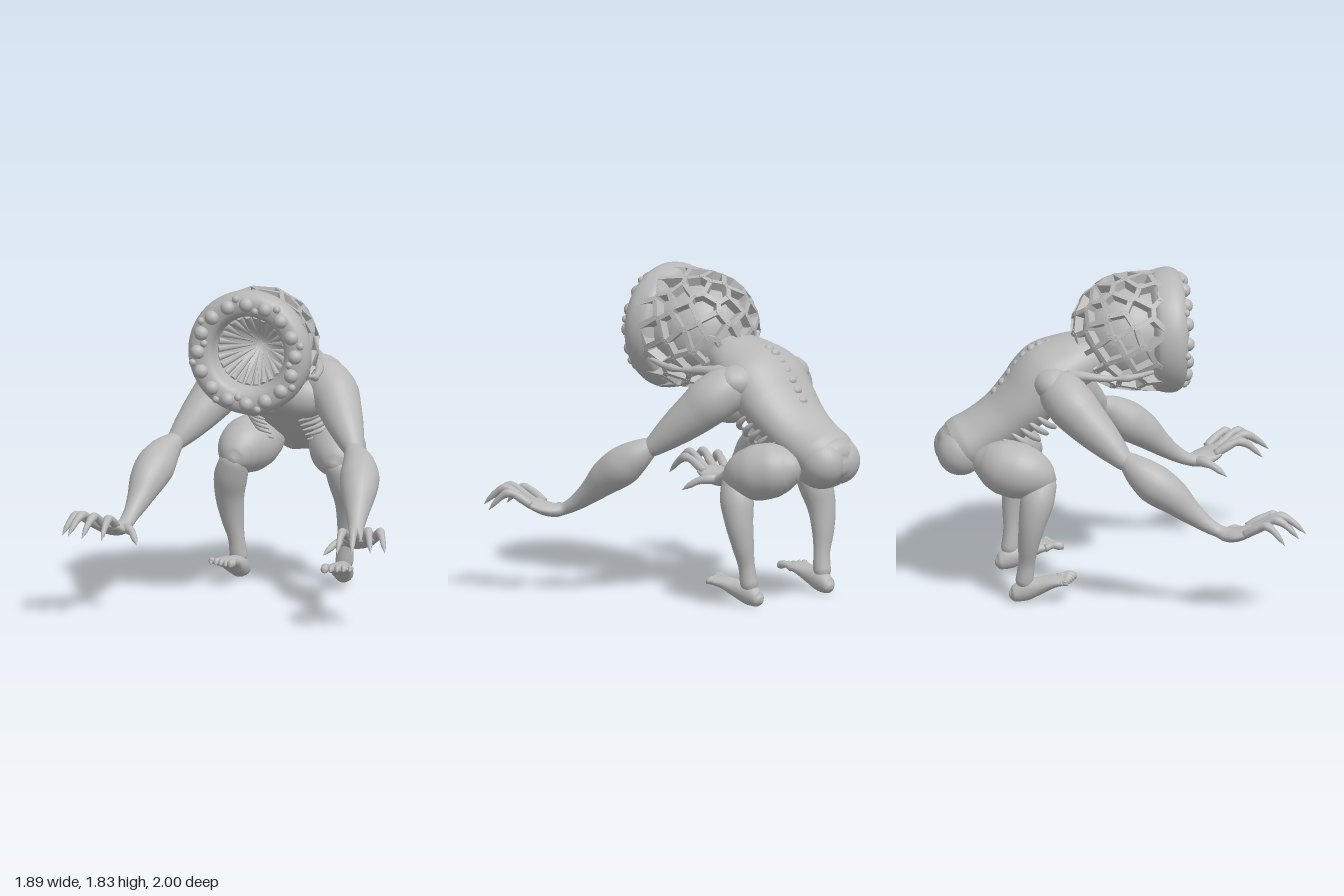
import * as THREE from 'three';
import { mergeGeometries } from 'three/addons/utils/BufferGeometryUtils.js';
import { ConvexGeometry } from 'three/addons/geometries/ConvexGeometry.js';

const V = (x, y, z) => new THREE.Vector3(x, y, z);

// Smooth closed limb through stations [x, y, z, halfWidth, halfHeight]
function loft(stations, { side = 1, up = V(0, 1, 0), rows = 40, cols = 24 } = {}) {
  const path = new THREE.CatmullRomCurve3(stations.map(s => V(s[0] * side, s[1], s[2])));
  const radii = new THREE.CatmullRomCurve3(stations.map(s => V(s[3], s[4] ?? s[3], 0)));
  const pos = [], index = [];
  for (let i = 0; i <= rows; i++) {
    const t = i / rows, p = path.getPoint(t), r = radii.getPoint(t), T = path.getTangent(t);
    const across = up.clone().cross(T).normalize(), n = T.clone().cross(across);
    for (let j = 0; j < cols; j++) {
      const a = j / cols * Math.PI * 2;
      const q = p.clone().addScaledVector(across, Math.cos(a) * r.x).addScaledVector(n, Math.sin(a) * r.y);
      pos.push(q.x, q.y, q.z);
    }
  }
  const first = pos.length / 3, last = rows * cols;
  pos.push(...path.getPoint(0).toArray(), ...path.getPoint(1).toArray());
  for (let j = 0; j < cols; j++) {
    const k = (j + 1) % cols;
    for (let i = 0; i < rows; i++) {
      const a = i * cols + j, b = i * cols + k;
      index.push(a, b, a + cols, b, b + cols, a + cols);
    }
    index.push(first, k, j, first + 1, last + j, last + k);
  }
  const g = new THREE.BufferGeometry();
  g.setAttribute('position', new THREE.Float32BufferAttribute(pos, 3));
  g.setIndex(index);
  g.computeVertexNormals();
  return g;
}

const ball = (x, y, z, rx, ry = rx, rz = rx, seg = 20) =>
  new THREE.SphereGeometry(1, seg, Math.round(seg * 0.7)).scale(rx, ry, rz).translate(x, y, z);

function spike(a, b, r) {
  const d = b.clone().sub(a), g = new THREE.ConeGeometry(r, d.length(), 6);
  g.translate(0, d.length() / 2, 0);
  g.applyQuaternion(new THREE.Quaternion().setFromUnitVectors(V(0, 1, 0), d.normalize()));
  return g.translate(a.x, a.y, a.z);
}

// Turns the front half of a sphere into a straight cylinder
function straighten(g, radius) {
  const p = g.attributes.position;
  for (let i = 0; i < p.count; i++) {
    const z = Math.min(Math.max(p.getZ(i) / radius, 0), 0.75), k = 1 / Math.sqrt(1 - z * z);
    p.setXY(i, p.getX(i) * k, p.getY(i) * k);
  }
  g.computeVertexNormals();
  return g;
}

// Irregular cell lattice: struts along the borders between points scattered on a sphere
function lattice(radius, count, width, depth, maxZ) {
  let seed = 7;
  const rnd = () => (seed = (seed * 16807) % 2147483647) / 2147483647 - 0.5;
  const pts = [];
  for (let i = 0; i < count; i++) {
    const h = 1 - (2 * i + 1) / count, r = Math.sqrt(1 - h * h), a = i * 2.39996;
    pts.push(V(r * Math.cos(a) + rnd() * 0.12, h + rnd() * 0.12, r * Math.sin(a) + rnd() * 0.12).normalize());
  }
  const p = new ConvexGeometry(pts).attributes.position, edges = new Map(), struts = [];
  for (let i = 0; i < p.count; i += 3) {
    const c = [0, 1, 2].map(k => V().fromBufferAttribute(p, i + k));
    const key = c.map(v => v.toArray().map(n => n.toFixed(4)).join());
    const node = new THREE.Triangle(...c).getNormal(V()).multiplyScalar(radius);
    for (let k = 0; k < 3; k++) {
      const id = [key[k], key[(k + 1) % 3]].sort().join('|');
      if (!edges.has(id)) { edges.set(id, node); continue; }
      const other = edges.get(id), mid = node.clone().add(other).multiplyScalar(0.5);
      if (mid.z > maxZ) continue;
      const along = other.clone().sub(node), len = along.length();
      if (len < 0.004) continue;
      along.normalize();
      const out = mid.clone().normalize(), across = along.clone().cross(out).normalize();
      out.crossVectors(across, along);
      struts.push(new THREE.BoxGeometry(len + width * 0.6, depth, width)
        .applyMatrix4(new THREE.Matrix4().makeBasis(along, out, across).setPosition(mid)));
    }
  }
  return mergeGeometries(struts);
}

export function createModel() {
  const model = new THREE.Group();
  const skin = new THREE.MeshStandardMaterial({ color: 0xb8b8b8 });
  skin.name = 'grey skin';
  const add = (name, geo, parent = model) => {
    const m = new THREE.Mesh(Array.isArray(geo) ? mergeGeometries(geo) : geo, skin);
    m.name = name;
    parent.add(m);
  };

  // Head: thick lip ring with a funnel mouth, facing +z
  const head = new THREE.Group();
  head.name = 'head';
  head.position.set(0, 1.475, 0);
  model.add(head);
  const lip = new THREE.SplineCurve([[0.26, 0.2], [0.32, 0.225], [0.343, 0.255], [0.355, 0.31], [0.35, 0.355], [0.325, 0.39],
    [0.285, 0.4], [0.24, 0.39], [0.215, 0.365], [0.205, 0.32], [0.19, 0.25], [0.13, 0.13], [0.05, 0.05], [0, 0.03]]
    .map(q => new THREE.Vector2(...q))).getPoints(52);
  lip.forEach(q => { q.x = Math.max(q.x, 0); });
  add('lipAndMouth', new THREE.LatheGeometry(lip, 56).rotateX(Math.PI / 2), head);
  add('skullCore', straighten(new THREE.SphereGeometry(0.28, 40, 28, 0, Math.PI * 2, 0, 2.15)
    .rotateX(-Math.PI / 2), 0.28).translate(0, 0, 0.1), head);
  add('skullLattice', straighten(lattice(0.31, 84, 0.028, 0.05, 0.155), 0.31).translate(0, 0, 0.1), head);

  // Beads around the lip and teeth converging in the mouth
  const beads = [], teeth = [];
  for (let i = 0; i < 16; i++) {
    const a = i / 16 * Math.PI * 2, b = a + Math.PI / 16;
    beads.push(ball(Math.cos(a) * 0.285, Math.sin(a) * 0.285, 0.395, 0.041));
    if (i % 4 !== 1) {
      const r = i % 2 ? 0.255 : 0.32;
      beads.push(ball(Math.cos(b) * r, Math.sin(b) * r, 0.39, 0.022, 0.022, 0.022, 12));
    }
  }
  for (let i = 0; i < 26; i++) {
    const a = i / 26 * Math.PI * 2, r = i % 2 ? 0.025 : 0.08, z = i % 2 ? 0.09 : 0.2;
    const c = Math.cos(a), s = Math.sin(a);
    teeth.push(spike(V(c * 0.2, s * 0.2, 0.28), V(c * r, s * r, z), 0.02));
  }
  add('lipBeads', beads, head);
  add('teeth', teeth, head);

  // Hunched torso from neck to rounded rump
  add('torso', loft([[0, 1.37, -0.06, 0.15, 0.13], [0, 1.31, -0.24, 0.24, 0.16], [0, 1.235, -0.37, 0.275, 0.19],
    [0, 1.11, -0.49, 0.262, 0.17], [0, 1.0, -0.61, 0.23, 0.152], [0, 0.91, -0.74, 0.205, 0.15],
    [0, 0.86, -0.83, 0.198, 0.155], [0, 0.835, -0.9, 0.168, 0.14], [0, 0.825, -0.95, 0.125, 0.105],
    [0, 0.82, -0.98, 0.08, 0.06], [0, 0.82, -0.993, 0.02, 0.015]], { rows: 70, cols: 36 }));
  // Knobbly spine
  const ridge = new THREE.CatmullRomCurve3([V(0, 1.425, -0.31), V(0, 1.405, -0.44), V(0, 1.29, -0.55), V(0, 1.15, -0.66)]);
  add('spineBumps', ridge.getPoints(8).map(p => ball(p.x, p.y, p.z, 0.035, 0.026, 0.026, 12)));

  for (const side of [1, -1]) {
    const half = new THREE.Group();
    half.name = side > 0 ? 'leftSide' : 'rightSide';
    model.add(half);
    const L = (name, st, opt = {}) => add(name, loft(st, { side, ...opt }), half);

    add('chestMuscle', ball(side * 0.14, 1.12, -0.25, 0.165, 0.125, 0.12), half);
    add('shoulderBlade', ball(side * 0.2, 1.25, -0.36, 0.15, 0.1, 0.115), half);
    add('buttock', ball(side * 0.065, 0.825, -0.865, 0.125, 0.135, 0.133, 28), half);

    // Ribs on the flank and a tendon to the head
    const ribs = [];
    for (let i = 0; i < 5; i++) {
      const y = 1.02 - i * 0.035, z = -0.37 - i * 0.045;
      ribs.push(loft([[0.1, y - 0.06, z + 0.04, 0.006], [0.18, y - 0.035, z + 0.02, 0.014],
        [0.235 - i * 0.006, y + 0.005, z - 0.03, 0.018], [0.235 - i * 0.007, y + 0.06, z - 0.1, 0.006]],
        { side, rows: 14, cols: 10 }));
    }
    add('ribs', ribs, half);
    L('neckTendon', [[0.315, 1.33, 0.2, 0.012], [0.31, 1.3, 0.08, 0.018], [0.29, 1.29, -0.04, 0.018],
      [0.27, 1.3, -0.16, 0.025], [0.22, 1.3, -0.28, 0.04]], { rows: 20, cols: 12 });

    // Arm: shoulder to elbow, then forearm and palm
    L('upperArm', [[0.13, 1.24, -0.36, 0.06], [0.19, 1.225, -0.34, 0.11], [0.26, 1.2, -0.31, 0.135],
      [0.325, 1.15, -0.265, 0.138], [0.38, 1.075, -0.195, 0.124], [0.43, 1.005, -0.125, 0.106],
      [0.48, 0.935, -0.055, 0.082], [0.52, 0.88, 0.0, 0.058], [0.55, 0.84, 0.05, 0.036]], { rows: 56, cols: 28 });
    L('forearm', [[0.5, 0.9, -0.01, 0.035], [0.53, 0.87, 0.03, 0.062], [0.57, 0.82, 0.09, 0.093],
      [0.6, 0.755, 0.17, 0.112], [0.62, 0.69, 0.26, 0.1], [0.64, 0.6, 0.36, 0.068],
      [0.66, 0.53, 0.45, 0.046], [0.675, 0.49, 0.52, 0.045, 0.036], [0.7, 0.475, 0.57, 0.07, 0.038],
      [0.73, 0.485, 0.63, 0.094, 0.036], [0.75, 0.51, 0.69, 0.096, 0.028], [0.755, 0.52, 0.72, 0.06, 0.015]], { rows: 56 });
    // Clawed fingers: base, then tip
    const fingers = [[0.68, 0.68, 0.69, 0.95], [0.73, 0.7, 0.79, 1.0], [0.785, 0.69, 0.885, 0.95], [0.825, 0.65, 0.945, 0.86]];
    fingers.forEach(([x, z, tx, tz], i) => {
      const at = (t, y, r) => [x + (tx - x) * t, y, z + (tz - z) * t, r];
      const h = 0.57 + (i === 1 || i === 2 ? 0.015 : 0);
      L('finger', [at(0, 0.51, 0.023), at(0.22, 0.545, 0.025), at(0.42, h, 0.021), at(0.55, h + 0.005, 0.026),
        at(0.72, h - 0.02, 0.019), at(0.86, h - 0.055, 0.015), at(1, h - 0.095, 0.001)], { rows: 24, cols: 10 });
    });
    L('thumb', [[0.68, 0.48, 0.56, 0.025], [0.63, 0.48, 0.61, 0.028], [0.595, 0.47, 0.65, 0.021],
      [0.57, 0.445, 0.69, 0.018], [0.545, 0.415, 0.73, 0.001]], { rows: 20, cols: 10 });

    // Leg: heavy thigh, shin and raised foot
    L('thigh', [[0.145, 0.80, -0.79, 0.02], [0.16, 0.80, -0.77, 0.075], [0.19, 0.793, -0.715, 0.125],
      [0.23, 0.78, -0.645, 0.156], [0.262, 0.763, -0.57, 0.16], [0.282, 0.745, -0.495, 0.143],
      [0.292, 0.725, -0.43, 0.11], [0.296, 0.71, -0.38, 0.065], [0.297, 0.705, -0.355, 0.015]], { rows: 56, cols: 32 });
    const back = V(0, 0, -1);
    L('shin', [[0.295, 0.76, -0.42, 0.04], [0.305, 0.7, -0.43, 0.08], [0.335, 0.6, -0.465, 0.095],
      [0.35, 0.48, -0.495, 0.083, 0.078], [0.34, 0.35, -0.515, 0.066, 0.06], [0.318, 0.22, -0.525, 0.047],
      [0.31, 0.13, -0.535, 0.05], [0.305, 0.08, -0.55, 0.03]], { up: back });
    L('foot', [[0.3, 0.045, -0.62, 0.015], [0.3, 0.047, -0.595, 0.045, 0.045], [0.305, 0.07, -0.53, 0.054, 0.062],
      [0.315, 0.095, -0.45, 0.058, 0.05], [0.325, 0.118, -0.38, 0.068, 0.036], [0.335, 0.128, -0.32, 0.075, 0.024],
      [0.335, 0.13, -0.3, 0.05, 0.012]]);
    for (let i = 0; i < 5; i++) {
      const x = 0.27 + i * 0.033, z = -0.235 - i * 0.016, r = i ? 0.016 : 0.022;
      L('toe', [[x, 0.125, -0.34, r], [x, 0.14, (z - 0.34) / 2, r], [x + 0.004, 0.132, z - 0.02, r * 1.1],
        [x + 0.005, 0.118, z, r * 0.3]], { rows: 14, cols: 10 });
    }
  }
  return model;
}
